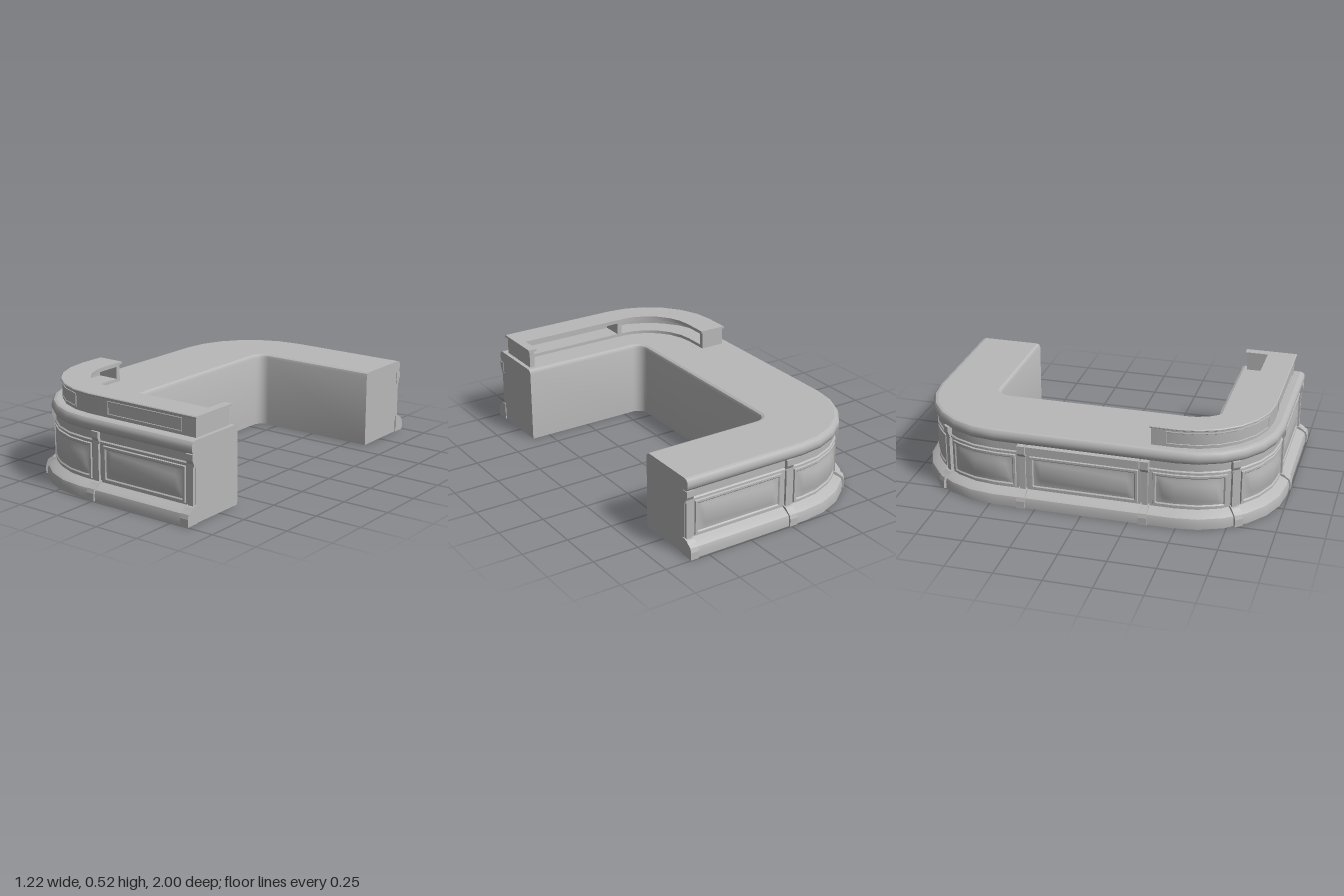
import * as THREE from 'three';
import { toCreasedNormals } from 'three/addons/utils/BufferGeometryUtils.js';

const R = 0.455, CX = -0.09, CZ = 0.48, END = 0.6;    // body corner radius, corner centre, arm end
const ARM = END - CX, ARC = R * Math.PI / 2, SIDE = 2 * CZ, TOTAL = 2 * ARM + 2 * ARC + SIDE;
const BREAKS = [];
for (let i = 0; i <= 6; i++) BREAKS.push(ARM + ARC * i / 6, TOTAL - ARM - ARC * i / 6);

// Point and outward normal on the U-shaped body line, s running from back arm to front arm
function at(s) {
  if (s > TOTAL / 2 + 1e-9) {
    const p = at(TOTAL - s);
    return { x: p.x, z: -p.z, nx: p.nx, nz: -p.nz };
  }
  if (s <= ARM) return { x: END - s, z: -CZ - R, nx: 0, nz: -1 };
  if (s <= ARM + ARC) {
    const a = (s - ARM) / R, nx = -Math.sin(a), nz = -Math.cos(a);
    return { x: CX + R * nx, z: -CZ + R * nz, nx, nz };
  }
  return { x: CX - R, z: -CZ + s - ARM - ARC, nx: -1, nz: 0 };
}
const sFront = x => TOTAL - (END - x);
const sSide = z => TOTAL / 2 + z;
const span = (s0, s1) => [s0, ...BREAKS.filter(b => b > s0 + 1e-4 && b < s1 - 1e-4).sort((a, b) => a - b), s1];
const stations = (s0, s1) => span(s0, s1).map(at);

// Surface over stations and rows; f(i, j) gives [outward offset, height]
function surface(st, rows, f, capProfile) {
  const pos = [];
  const put = (i, [d, y]) => pos.push(st[i].x + st[i].nx * d, y, st[i].z + st[i].nz * d);
  for (let i = 0; i + 1 < st.length; i++) {
    for (let j = 0; j + 1 < rows; j++) {
      const a = f(i, j), b = f(i + 1, j), c = f(i, j + 1), d = f(i + 1, j + 1);
      put(i, a); put(i + 1, b); put(i, c);
      put(i + 1, b); put(i + 1, d); put(i, c);
    }
  }
  if (capProfile) {
    const tris = THREE.ShapeUtils.triangulateShape(capProfile.map(p => new THREE.Vector2(...p)), []);
    for (const [a, b, c] of tris) {
      [a, b, c].forEach(k => put(0, capProfile[k]));
      [a, c, b].forEach(k => put(st.length - 1, capProfile[k]));
    }
  }
  const g = new THREE.BufferGeometry();
  g.setAttribute('position', new THREE.Float32BufferAttribute(pos, 3));
  return toCreasedNormals(g, 0.6);
}
const sweep = (profile, st) => surface(st, profile.length, (i, j) => profile[j]);
function sweepSolid(profile, s0, s1) {
  const loop = [...profile, profile[0]];
  return surface(stations(s0, s1), loop.length, (i, j) => loop[j], profile);
}
const rect = (d0, d1, y0, y1) => [[d0, y0], [d1, y0], [d1, y1], [d0, y1]];

// Moulded panel: height depends on the distance from the nearest edge
function panel(s0, s1, y0, y1, layers, base = 0) {
  const us = layers.map(l => l[0]), last = us[us.length - 1];
  const ss = [...us.slice(0, -1).map(u => s0 + u), ...span(s0 + last, s1 - last), ...us.slice(0, -1).reverse().map(u => s1 - u)];
  const ys = [...us.map(u => y0 + u), ...us.slice().reverse().map(u => y1 - u)];
  const height = u => {
    for (const [d, h] of layers.slice().reverse()) if (u >= d - 1e-6) return h;
    return layers[0][1];
  };
  return surface(ss.map(at), ys.length, (i, j) => {
    const u = Math.min(ss[i] - s0, s1 - ss[i], ys[j] - y0, y1 - ys[j]);
    return [base + height(u), ys[j]];
  });
}

export function createModel() {
  const root = new THREE.Group();
  root.name = 'receptionCounter';
  const grey = new THREE.MeshStandardMaterial({ color: 0xb8b8b8, side: THREE.DoubleSide });
  grey.name = 'grey';
  const add = (name, geo, parent = root) => {
    const m = new THREE.Mesh(geo, grey);
    m.name = name;
    parent.add(m);
    return m;
  };

  // Outer wall with plinth, string moulding and bullnose edge
  const outer = [[0.056, 0], [0.056, 0.035], [0.05, 0.056], [0.033, 0.068], [0.012, 0.078], [0, 0.085],
    [0, 0.285], [0.01, 0.29], [0.01, 0.298], [0.003, 0.304], [0.003, 0.345], [0.016, 0.352], [0.024, 0.366],
    [0.026, 0.382], [0.023, 0.4], [0.014, 0.411], [0, 0.415]];
  add('outerWall', sweep(outer, stations(0, TOTAL)));

  // Inner wall with rounded corners and a softened top edge
  const inner = [[0, 0], [0, 0.395], [-0.006, 0.409], [-0.02, 0.415]];
  const half = [{ x: END, z: 0.6, nx: 0, nz: -1 }];
  for (let i = 0; i <= 6; i++) {
    const a = i / 6 * Math.PI / 2;
    half.push({ x: -0.06 - 0.06 * Math.sin(a), z: 0.54 + 0.06 * Math.cos(a), nx: Math.sin(a), nz: -Math.cos(a) });
  }
  const innerLine = [...half, ...half.slice().reverse().map(p => ({ ...p, z: -p.z, nz: -p.nz }))].reverse();
  add('innerWall', sweep(inner, innerLine.slice().reverse()));

  // Countertop
  const top = [...stations(0, TOTAL).map(p => new THREE.Vector2(p.x, -p.z)),
    ...innerLine.slice().reverse().map(p => new THREE.Vector2(p.x - 0.02 * p.nx, -(p.z - 0.02 * p.nz)))];
  add('countertop', new THREE.ShapeGeometry(new THREE.Shape(top)).rotateX(-Math.PI / 2).translate(0, 0.415, 0));

  // Arm ends
  for (const side of [1, -1]) {
    const outline = [...outer.map(([d, y]) => [CZ + R + d, y]), ...inner.slice().reverse().map(([d, y]) => [0.6 - d, y])];
    const shape = new THREE.Shape(outline.map(([z, y]) => new THREE.Vector2(-side * z, y)));
    add('armEnd', new THREE.ShapeGeometry(shape).rotateY(Math.PI / 2).translate(END, 0, 0));
  }

  // Pilasters: stepped foot, slim shaft and corbel
  const foot = [[-0.01, 0], [0.065, 0], [0.065, 0.04], [0.058, 0.062], [0.04, 0.075], [0.024, 0.088], [0, 0.094], [-0.01, 0.094]];
  const shaft = [[-0.01, 0.08], [0.014, 0.08], [0.014, 0.3], [-0.01, 0.3]];
  const corbel = [[-0.01, 0.285], [0.013, 0.285], [0.014, 0.3], [0.024, 0.318], [0.024, 0.35], [-0.01, 0.35]];
  const bigCorbel = [[-0.01, 0.28], [0.016, 0.28], [0.036, 0.302], [0.036, 0.346], [-0.01, 0.346]];
  const marks = [0.018, END + 0.013, ARM + R * 0.89, TOTAL / 2 - 0.327];
  const posts = [...marks, ...marks.map(s => TOTAL - s)];
  for (const s of posts) {
    const g = new THREE.Group(), p = at(s);
    g.name = 'pilaster';
    g.position.set(p.x, 0, p.z);
    g.rotation.y = Math.atan2(-p.nz, p.nx);
    const onSide = Math.abs(s - TOTAL / 2) < 0.4;
    for (const [name, pts, w] of [['foot', foot, 0.046], ['shaft', shaft, 0.032], ['corbel', onSide ? bigCorbel : corbel, 0.042]]) {
      const shape = new THREE.Shape(pts.map(q => new THREE.Vector2(...q)));
      add(name, new THREE.ExtrudeGeometry(shape, { depth: w, bevelEnabled: false }).translate(0, 0, -w / 2), g);
    }
    root.add(g);
  }

  // Raised panels in each bay
  const field = [[0, 0], [0.003, 0.008], [0.014, 0.008], [0.02, 0.002], [0.034, 0.003], [0.058, 0.01]];
  const sorted = posts.slice().sort((a, b) => a - b);
  for (let i = 0; i + 1 < sorted.length; i++) {
    add('bayPanel', panel(sorted[i] + 0.038, sorted[i + 1] - 0.038, 0.092, 0.28, field));
  }
  add('sideLedge', sweepSolid(rect(-0.005, 0.036, 0.302, 0.346), sSide(-0.3), sSide(0.3)));

  // Raised transaction shelf on the front arm
  const shelf = new THREE.Group();
  shelf.name = 'raisedShelf';
  root.add(shelf);
  const a = sSide(0.345), b = sFront(0.578);
  const slab = [[-0.18, 0.51], [-0.03, 0.51], [-0.024, 0.514], [-0.024, 0.519], [-0.028, 0.523], [-0.18, 0.523]];
  add('shelfTop', sweepSolid(slab, sSide(0.338), sFront(0.588)), shelf);
  add('shelfWall', sweepSolid(rect(-0.05, -0.034, 0.414, 0.511), a, b), shelf);
  add('shelfFloor', sweepSolid(rect(-0.17, -0.045, 0.414, 0.432), a, b), shelf);
  add('shelfRail', sweepSolid(rect(-0.17, -0.045, 0.498, 0.511), a, b), shelf);
  for (const [s0, s1] of [[a, a + 0.025], [sFront(-0.09), sFront(-0.065)], [sFront(0.54), b]]) {
    add('shelfDivider', sweepSolid(rect(-0.17, -0.045, 0.414, 0.511), s0, s1), shelf);
  }
  add('returnWall', new THREE.BoxGeometry(0.028, 0.097, 0.14).translate(0.564, 0.4625, 0.71), shelf);
  add('returnTop', new THREE.BoxGeometry(0.048, 0.013, 0.127).translate(0.564, 0.5165, 0.6925), shelf);
  const border = [[0, 0], [0.001, 0.004], [0.006, 0.004], [0.008, 0.001]];
  for (const [s0, s1] of [[sSide(0.42), sFront(-0.2)], [sFront(0.025), sFront(0.495)]]) {
    add('shelfPanel', panel(s0, s1, 0.428, 0.5, border, -0.034), shelf);
  }
  return root;
}
